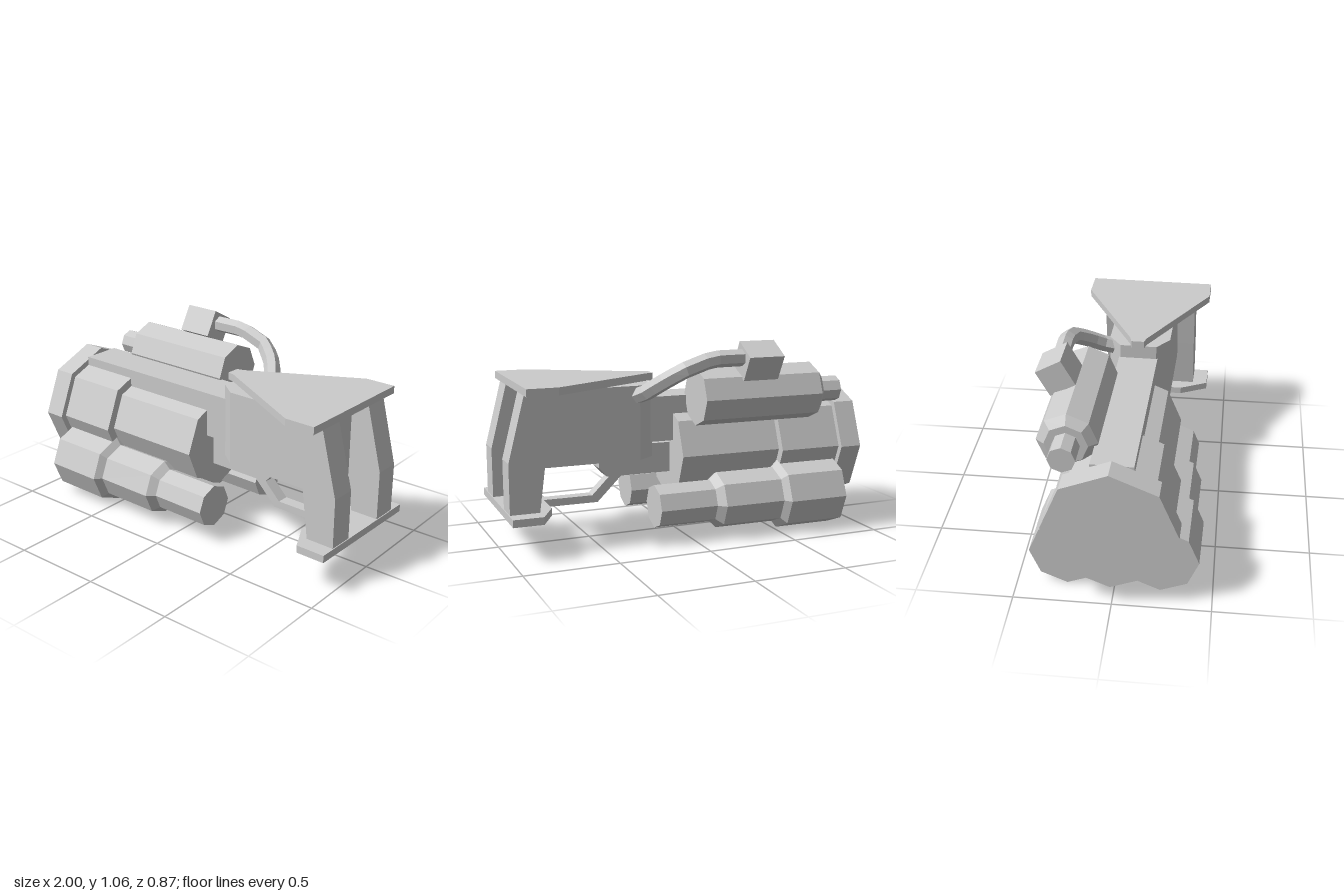
import * as THREE from 'three';

const material = new THREE.MeshStandardMaterial({ color: 0xcccccc, flatShading: true });

function add(parent, name, geometry, x = 0, y = 0, z = 0) {
  const mesh = new THREE.Mesh(geometry, material);
  mesh.name = name;
  mesh.position.set(x, y, z);
  parent.add(mesh);
  return mesh;
}

// Eight-sided solid turned around the x axis; profile is [x, radius] pairs
function turned(profile) {
  const first = profile[0][0], last = profile[profile.length - 1][0];
  const points = [[first, 0], ...profile, [last, 0]].map(([x, r]) => new THREE.Vector2(r, x));
  return new THREE.LatheGeometry(points, 8).rotateZ(-Math.PI / 2);
}

const shapeOf = (pts) => new THREE.Shape(pts.map(([a, b]) => new THREE.Vector2(a, b)));

// Side outline (x, y), extruded symmetrically in z
function sideSolid(pts, width) {
  return new THREE.ExtrudeGeometry(shapeOf(pts), { depth: width, bevelEnabled: false })
    .translate(0, 0, -width / 2);
}

// Half plan outline (x, z), mirrored over z = 0 and extruded from bottom to top
function planSolid(half, bottom, top) {
  const mirrored = half.map(([x, z]) => [x, -z]).reverse();
  return new THREE.ExtrudeGeometry(shapeOf([...half, ...mirrored]), { depth: top - bottom, bevelEnabled: false })
    .rotateX(Math.PI / 2).translate(0, top, 0);
}

function box(x0, x1, y0, y1, z0, z1) {
  return new THREE.BoxGeometry(x1 - x0, y1 - y0, z1 - z0)
    .translate((x0 + x1) / 2, (y0 + y1) / 2, (z0 + z1) / 2);
}

export function createModel() {
  const root = new THREE.Group();
  root.name = 'blaster';
  const body = new THREE.Group();
  body.name = 'body';
  body.rotation.y = -0.02;
  body.position.z = 0.013;
  root.add(body);

  // Main barrel with its end drum
  add(body, 'endDrum', turned([[-1, 0.338], [-0.88, 0.338]]), 0, 0.455);
  add(body, 'mainBarrel', turned([[-0.9, 0.305], [-0.53, 0.305], [-0.53, 0.257], [0.04, 0.257]]), 0, 0.455);

  // Spine on the barrel and rail below
  add(body, 'spine', box(-0.88, 0.18, 0.52, 0.765, -0.107, 0.107));
  add(body, 'lowerRail', sideSolid([[-0.1, 0.335], [0.4, 0.335], [0.445, 0.385], [0.445, 0.5], [-0.1, 0.5]], 0.105));

  // Pair of stepped lower barrels
  for (const side of [-1, 1]) {
    add(body, side > 0 ? 'leftLowerBarrel' : 'rightLowerBarrel', turned([
      [-0.865, 0.193], [-0.53, 0.193], [-0.5, 0.155], [-0.16, 0.155], [-0.12, 0.117], [0.2, 0.117],
    ]), 0, 0.197, side * 0.238);
  }

  // Upper canister with a nozzle
  add(body, 'upperCanister', turned([
    [-0.88, 0.07], [-0.75, 0.07], [-0.75, 0.11], [-0.715, 0.155], [-0.035, 0.155],
  ]), 0, 0.775, -0.243);

  // Tilted block and the hose running from it to the receiver
  const block = add(body, 'hoseBlock', new THREE.BoxGeometry(0.2, 0.15, 0.15), -0.355, 0.966, -0.343);
  block.rotation.x = -0.51;
  const hosePath = new THREE.CurvePath();
  const stops = [[-0.3, 0.985, -0.345], [-0.08, 0.985, -0.352], [0.08, 0.93, -0.345],
    [0.18, 0.86, -0.28], [0.24, 0.8, -0.2], [0.27, 0.77, -0.1]].map((p) => new THREE.Vector3(...p));
  for (let i = 1; i < stops.length; i++) hosePath.add(new THREE.LineCurve3(stops[i - 1], stops[i]));
  add(body, 'hose', new THREE.TubeGeometry(hosePath, 12, 0.045, 6));

  // Receiver with chamfered nose, and its rear panel
  add(body, 'receiver', planSolid([[0.16, 0.1], [0.25, 0.168], [0.8, 0.168], [0.8, 0]].slice(0, 3), 0.44, 0.84));
  add(body, 'rearPanel', box(0.79, 0.825, 0.52, 0.79, 0.045, 0.147));

  // Flared top plate and lower plate
  add(body, 'topPlate', planSolid([[0.13, 0.035], [0.17, 0.045], [0.74, 0.355], [0.905, 0.355]], 0.845, 0.885));
  add(body, 'bottomPlate', planSolid([[0.75, 0.2], [0.83, 0.355], [0.99, 0.355]], 0.195, 0.235));

  // Columns joining the plates
  for (const side of [-1, 1]) {
    add(body, side > 0 ? 'leftColumn' : 'rightColumn', sideSolid([
      [0.75, 0.85], [0.79, 0.53], [0.83, 0.23], [0.985, 0.23], [0.985, 0.5], [0.895, 0.85],
    ], 0.138), 0, 0, side * 0.2);
  }

  // Guard bar from the rail to the lower plate
  add(body, 'guardBar', sideSolid([
    [0.3, 0.345], [0.45, 0.195], [0.78, 0.195], [0.78, 0.235], [0.48, 0.235], [0.37, 0.345],
  ], 0.066));

  return root;
}
